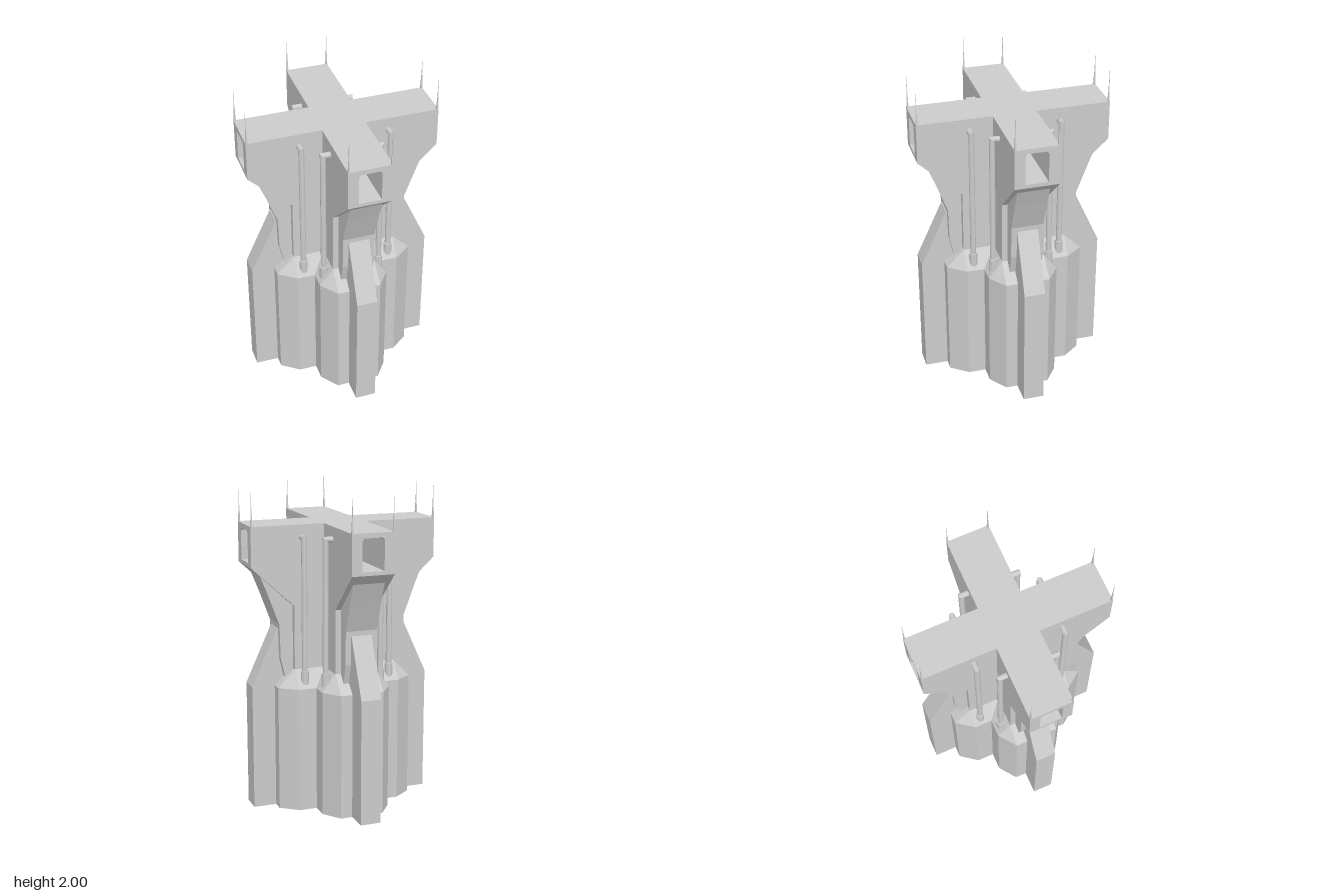
import * as THREE from 'three';

const material = new THREE.MeshStandardMaterial({ color: 0xcccccc, flatShading: true, side: THREE.DoubleSide });

function addMesh(parent, name, geometry) {
  const mesh = new THREE.Mesh(geometry, material);
  mesh.name = name;
  parent.add(mesh);
  return mesh;
}

const toShape = (pts) => new THREE.Shape(pts.map(([a, b]) => new THREE.Vector2(a, b)));

// Side profile of [z, y] points, extruded symmetrically across x
function profileSlab(points, width) {
  const geo = new THREE.ExtrudeGeometry(toShape(points), { depth: width, bevelEnabled: false });
  return geo.rotateY(-Math.PI / 2).translate(width / 2, 0, 0);
}

// Flat strip between two plan outlines of [x, z] points at two heights
function strip(lower, y0, upper, y1) {
  const pos = [];
  for (let i = 0; i < lower.length - 1; i++) {
    const a = [lower[i][0], y0, lower[i][1]];
    const b = [lower[i + 1][0], y0, lower[i + 1][1]];
    const c = [upper[i + 1][0], y1, upper[i + 1][1]];
    const d = [upper[i][0], y1, upper[i][1]];
    pos.push(...a, ...b, ...c, ...a, ...c, ...d);
  }
  const geo = new THREE.BufferGeometry();
  geo.setAttribute('position', new THREE.Float32BufferAttribute(pos, 3));
  geo.computeVertexNormals();
  return geo;
}

// Pipe rising beside a wall and turning into it with a mitred elbow
function pipeGeometry(r, out, wall, z, yBottom, yTop) {
  const geo = new THREE.CylinderGeometry(r, r, 2, 12, 2, true);
  const p = geo.attributes.position;
  for (let i = 0; i < p.count; i++) {
    const x = p.getX(i), row = p.getY(i);
    p.setXYZ(i, row > 0.5 ? wall : out + x, row < -0.5 ? yBottom : yTop + x, z + p.getZ(i));
  }
  geo.computeVertexNormals();
  return geo;
}

function createArm() {
  const arm = new THREE.Group();

  // Hollow arm with a window at its end
  const frame = toShape([[-0.135, 1.55], [0.135, 1.55], [0.135, 1.8], [-0.135, 1.8]]);
  frame.holes.push(toShape([[-0.07, 1.573], [-0.07, 1.755], [-0.057, 1.77],
    [0.057, 1.77], [0.07, 1.755], [0.07, 1.573]]));
  addMesh(arm, 'armGallery',
    new THREE.ExtrudeGeometry(frame, { depth: 0.465, bevelEnabled: false }).translate(0, 0, 0.135));

  // Wall below the arm, with its slanted underside
  addMesh(arm, 'armWall',
    profileSlab([[0, 0.8], [0.33, 0.8], [0.33, 1.3], [0.6, 1.55], [0, 1.55]], 0.27));

  // Waisted rib under the arm
  addMesh(arm, 'upperRib', profileSlab([[0.3, 0.8], [0.37, 0.8], [0.41, 0.97], [0.415, 1.18],
    [0.49, 1.38], [0.535, 1.49], [0.3, 1.27]], 0.2));

  // Sloped top of the buttress
  addMesh(arm, 'buttressTop',
    profileSlab([[0.36, 0.79], [0.585, 0.79], [0.42, 1.15], [0.36, 1.15]], 0.13));

  // Folded base wall, open underneath
  const base = [[-0.22, 0.22], [-0.22, 0.33], [-0.138, 0.44], [-0.065, 0.44], [-0.065, 0.585],
    [0.065, 0.585], [0.065, 0.44], [0.138, 0.44], [0.22, 0.33], [0.22, 0.22]];
  addMesh(arm, 'baseWall', strip(base, 0, base, 0.79));

  // Sloped shoulder from the base up to the walls
  const shoulder = [base[0], base[1], base[2], base[7], base[8], base[9]];
  const inner = [[-0.135, 0.135], [-0.135, 0.33], [-0.135, 0.33],
    [0.135, 0.33], [0.135, 0.33], [0.135, 0.135]];
  addMesh(arm, 'baseShoulder', strip(shoulder, 0.79, inner, 0.9));

  // Pipes and masts on both sides
  for (const side of [1, -1]) {
    const half = new THREE.Group();
    half.name = side > 0 ? 'leftFittings' : 'rightFittings';
    half.scale.x = side;
    addMesh(half, 'pipe', pipeGeometry(0.018, 0.18, 0.13, 0.28, 0.82, 1.722));
    addMesh(half, 'pipeCollar',
      new THREE.CylinderGeometry(0.026, 0.026, 0.085, 12).translate(0.18, 0.855, 0.28));
    addMesh(half, 'mastBase',
      new THREE.CylinderGeometry(0.003, 0.008, 0.1, 4).rotateY(Math.PI / 4).translate(0.129, 1.85, 0.593));
    addMesh(half, 'mastTip',
      new THREE.CylinderGeometry(0.0012, 0.0025, 0.1, 4).rotateY(Math.PI / 4).translate(0.129, 1.95, 0.593));
    arm.add(half);
  }
  return arm;
}

export function createModel() {
  const model = new THREE.Group();
  model.name = 'tower';

  // Floor and roof where the arms cross
  addMesh(model, 'crossingFloor', new THREE.BoxGeometry(0.27, 0.023, 0.27).translate(0, 1.5615, 0));
  addMesh(model, 'crossingRoof', new THREE.BoxGeometry(0.27, 0.03, 0.27).translate(0, 1.785, 0));

  ['frontArm', 'leftArm', 'backArm', 'rightArm'].forEach((name, i) => {
    const arm = createArm();
    arm.name = name;
    arm.rotation.y = i * Math.PI / 2;
    model.add(arm);
  });
  return model;
}
